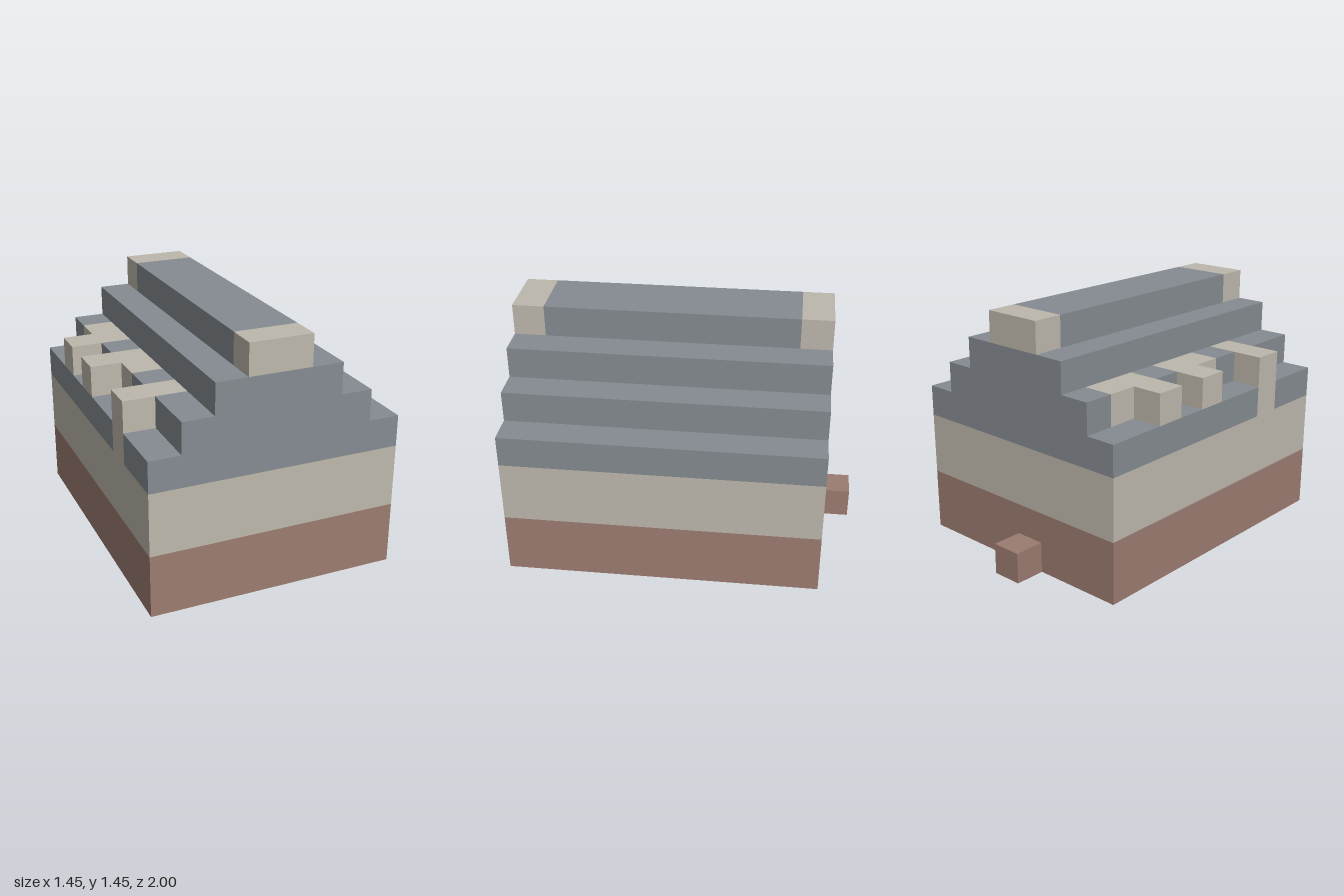
import * as THREE from 'three';
import { mergeGeometries } from 'three/addons/utils/BufferGeometryUtils.js';

const U = 2 / 11; // one block
const WIDTH = 8, DEPTH = 10;

const material = (name, color) =>
  new THREE.MeshStandardMaterial({ name, color, side: THREE.DoubleSide });

// Outward directions of a block's faces, with the rotation that turns a +z plane to each
const H = Math.PI / 2;
const FACES = [
  [1, 0, 0, 0, H], [-1, 0, 0, 0, -H],
  [0, 1, 0, -H, 0], [0, -1, 0, H, 0],
  [0, 0, 1, 0, 0], [0, 0, -1, 0, 2 * H],
];

export function createModel() {
  const brick = material('brick red', 0x9c7c70);
  const plaster = material('plaster cream', 0xbdb8ad);
  const slate = material('slate grey', 0x858b91);
  const parts = {
    foundation: brick, doorStep: brick,
    walls: plaster, ridgeEnds: plaster, dormers: plaster,
    roof: slate,
  };

  // Block grid: x from the right side, y from the ground, z from the back
  const blocks = new Map();
  const key = (x, y, z) => `${x},${y},${z}`;
  const put = (part, x0, x1, y0, y1, z0, z1) => {
    for (let x = x0; x < x1; x++)
      for (let y = y0; y < y1; y++)
        for (let z = z0; z < z1; z++) blocks.set(key(x, y, z), { part, at: [x, y, z] });
  };

  put('foundation', 0, WIDTH, 0, 2, 0, DEPTH);
  put('walls', 0, WIDTH, 2, 4, 0, DEPTH);
  put('doorStep', 3, 4, 0, 1, -1, 0);

  // Stepped gable roof, one block narrower per side at each level
  for (let s = 0; s < 4; s++) put('roof', s, WIDTH - s, 4 + s, 5 + s, 0, DEPTH);

  // Pale blocks at both ends of the ridge
  put('ridgeEnds', 3, 5, 7, 8, 0, 1);
  put('ridgeEnds', 3, 5, 7, 8, DEPTH - 1, DEPTH);

  // Dormers on the right slope: projecting blocks and their bases
  for (const z of [2, 4, 7]) put('dormers', 0, 2, 5, 6, z, z + 1);
  for (const z of [1, 5]) put('dormers', 1, 2, 5, 6, z, z + 1);
  put('dormers', 0, 1, 4, 5, 7, 8);

  // Thin hollow shell: only faces without a neighbour, open at the ground
  const faces = {};
  for (const { part, at: [x, y, z] } of blocks.values()) {
    for (const [dx, dy, dz, rx, ry] of FACES) {
      if (y + dy < 0 || blocks.has(key(x + dx, y + dy, z + dz))) continue;
      const face = new THREE.PlaneGeometry(U, U).rotateX(rx).rotateY(ry);
      face.translate(
        (x + 0.5 - WIDTH / 2 + dx / 2) * U,
        (y + 0.5 + dy / 2) * U,
        (z + 1.5 + dz / 2) * U - 1,
      );
      (faces[part] ??= []).push(face);
    }
  }

  const house = new THREE.Group();
  house.name = 'house';
  for (const [name, mat] of Object.entries(parts)) {
    const mesh = new THREE.Mesh(mergeGeometries(faces[name]), mat);
    mesh.name = name;
    house.add(mesh);
  }
  return house;
}
